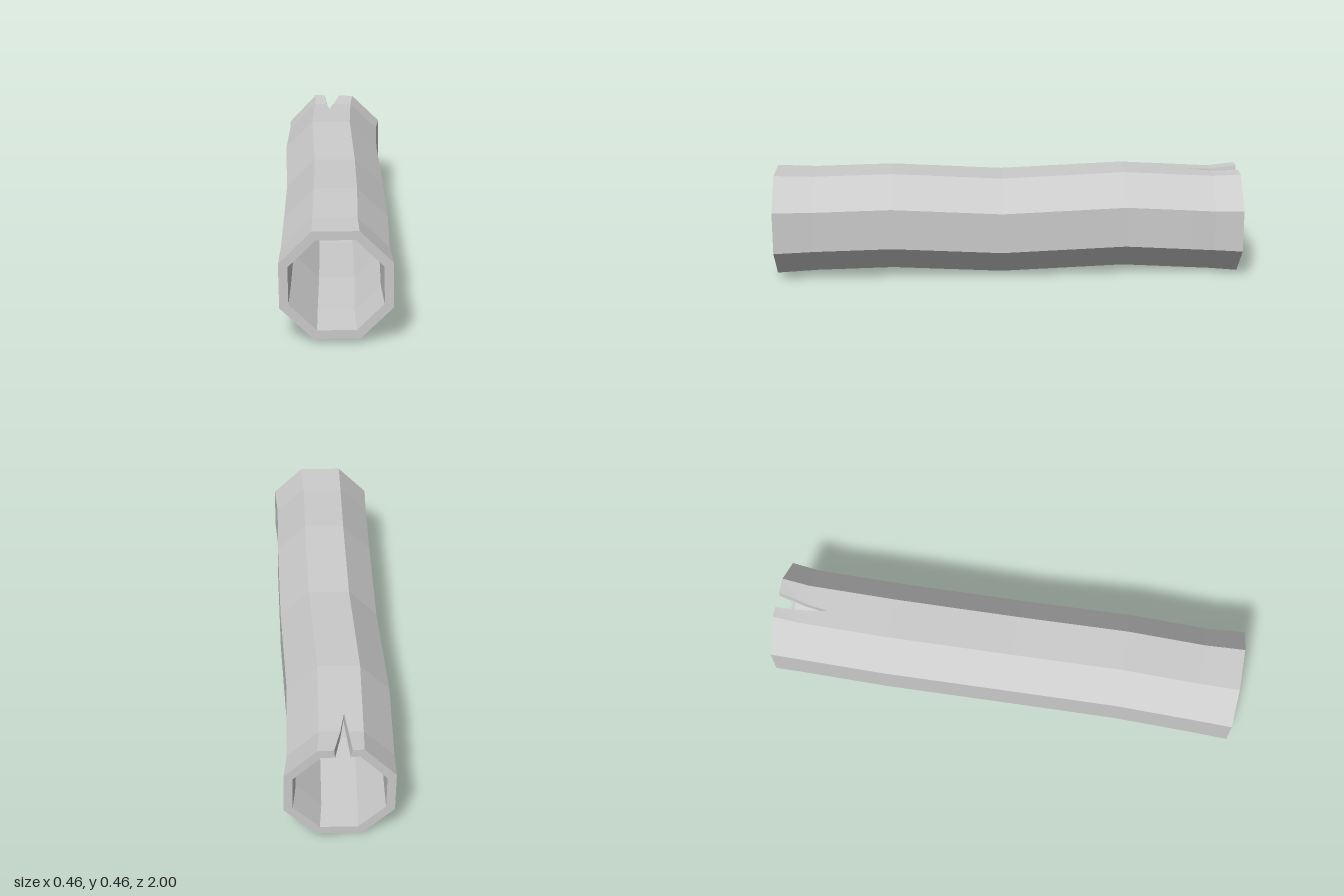
import * as THREE from 'three';

// Cross-sections from front to back: z, centre x, centre y, outer radius
const RINGS = [
  [1.0, 0.011, 0.240, 0.235],
  [0.83, 0.007, 0.241, 0.227],
  [0.5, 0.007, 0.250, 0.227],
  [0.03, 0.0, 0.224, 0.226],
  [-0.5, -0.022, 0.241, 0.227],
  [-0.78, -0.019, 0.227, 0.227],
  [-0.88, -0.018, 0.222, 0.227],
  [-1.0, -0.012, 0.222, 0.235],
];
const SIDES = 8;
const WALL = 0.038;
// Split in the top panel: ring index -> left and right edge across the panel
const SPLIT = { 5: [0.42, 0.42], 6: [0.34, 0.52], 7: [0.25, 0.64] };

// Corner i of ring k, clockwise from the top left
function corner(k, i, inset) {
  const [z, cx, cy, r] = RINGS[k];
  const a = THREE.MathUtils.degToRad(113.3 - (i % SIDES) * 45);
  const lift = k === RINGS.length - 1 && i % SIDES === 0 ? 0.006 : 0; // bent prong
  return new THREE.Vector3(cx + Math.cos(a) * (r - inset), cy + Math.sin(a) * (r - inset) + lift, z);
}

// Point at fraction u across panel i of ring k
const along = (k, i, u, inset) => corner(k, i, inset).lerp(corner(k, i + 1, inset), u);

function logGeometry() {
  const positions = [];
  const quad = (a, b, c, d) => [a, b, c, a, c, d].forEach((p) => positions.push(p.x, p.y, p.z));

  // Outer and inner skin of one panel strip between rings k and k + 1
  const strip = (k, i, front, back) => {
    const p = (ring, u, inset) => along(ring, i, u, inset);
    quad(p(k, front[0], 0), p(k, front[1], 0), p(k + 1, back[1], 0), p(k + 1, back[0], 0));
    quad(p(k, front[1], WALL), p(k, front[0], WALL), p(k + 1, back[0], WALL), p(k + 1, back[1], WALL));
  };
  // Rim across the wall thickness
  const rim = (k, i, u0, u1, facesBack) => {
    const q = [along(k, i, u0, 0), along(k, i, u0, WALL), along(k, i, u1, WALL), along(k, i, u1, 0)];
    quad(...(facesBack ? q.reverse() : q));
  };
  // Cut face along one side of the split
  const cut = (k, side) => {
    const f = SPLIT[k][side];
    const b = SPLIT[k + 1][side];
    const q = [along(k, 0, f, 0), along(k, 0, f, WALL), along(k + 1, 0, b, WALL), along(k + 1, 0, b, 0)];
    quad(...(side ? q.reverse() : q));
  };

  const last = RINGS.length - 1;
  for (let i = 0; i < SIDES; i++) {
    for (let k = 0; k < last; k++) {
      if (i === 0 && SPLIT[k]) {
        strip(k, i, [0, SPLIT[k][0]], [0, SPLIT[k + 1][0]]);
        strip(k, i, [SPLIT[k][1], 1], [SPLIT[k + 1][1], 1]);
        cut(k, 0);
        cut(k, 1);
      } else {
        strip(k, i, [0, 1], [0, 1]);
      }
    }
    rim(0, i, 0, 1, false);
    if (i === 0) {
      rim(last, i, 0, SPLIT[last][0], true);
      rim(last, i, SPLIT[last][1], 1, true);
    } else {
      rim(last, i, 0, 1, true);
    }
  }

  const geometry = new THREE.BufferGeometry();
  geometry.setAttribute('position', new THREE.Float32BufferAttribute(positions, 3));
  geometry.computeVertexNormals();
  return geometry;
}

export function createModel() {
  const model = new THREE.Group();
  model.name = 'hollowLog';
  const material = new THREE.MeshStandardMaterial({ color: 0xcccccc, flatShading: true });
  const log = new THREE.Mesh(logGeometry(), material);
  log.name = 'logShell';
  model.add(log);
  return model;
}
